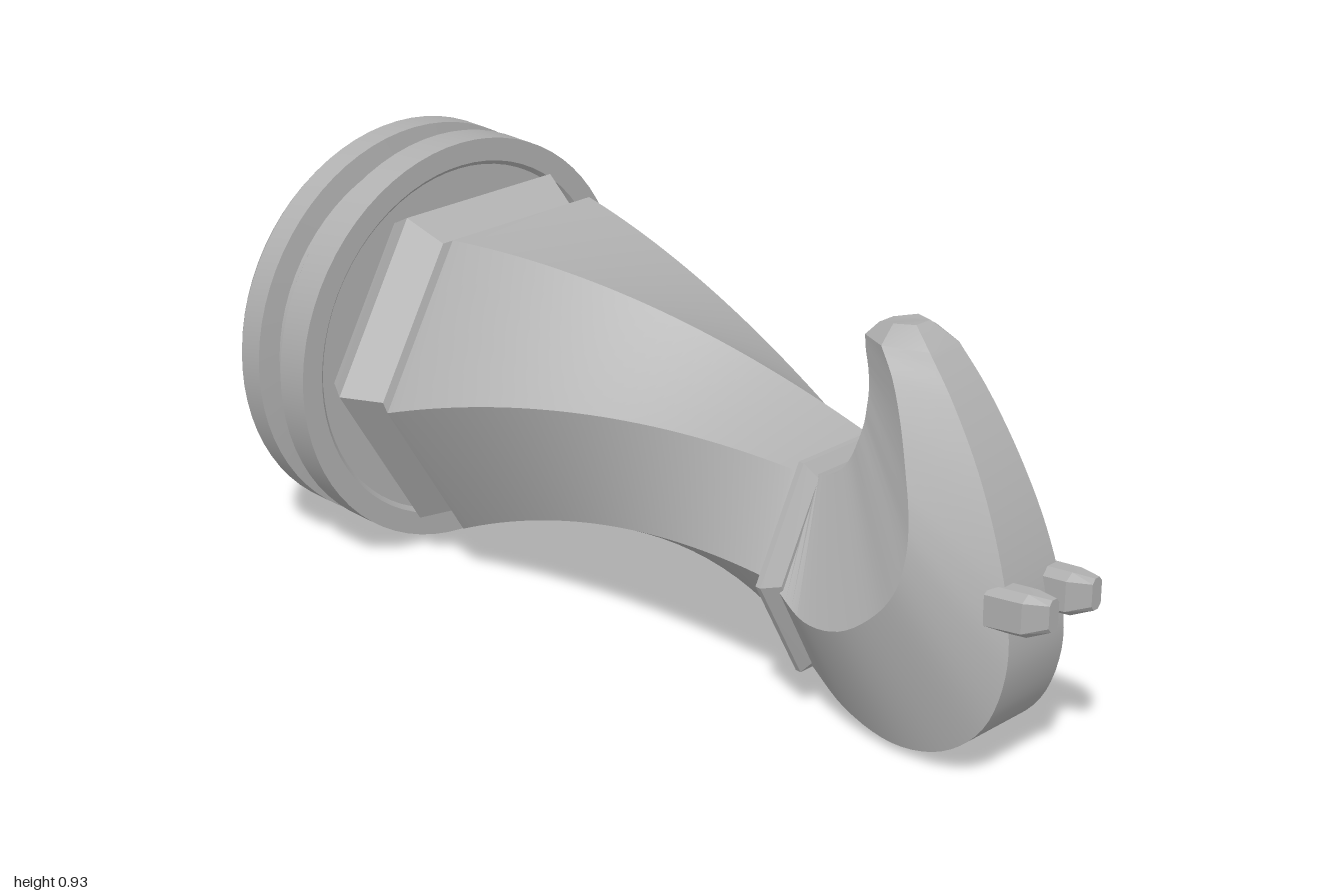
import * as THREE from 'three';
import { toCreasedNormals } from 'three/addons/utils/BufferGeometryUtils.js';

const V = (x, y, z) => new THREE.Vector3(x, y, z);
const lerp = THREE.MathUtils.lerp;

// Skin a list of rings (counter-clockwise seen from +z, running towards +z), with end caps
function loft(rings, crease = 0.35) {
  const pos = [];
  const tri = (...pts) => pts.forEach((p) => pos.push(p.x, p.y, p.z));
  const n = rings[0].length;
  for (let i = 0; i < rings.length - 1; i++) {
    const a = rings[i], b = rings[i + 1];
    for (let j = 0; j < n; j++) {
      const k = (j + 1) % n;
      tri(a[j], a[k], b[k]);
      tri(a[j], b[k], b[j]);
    }
  }
  const first = rings[0], last = rings[rings.length - 1];
  for (let j = 1; j < n - 1; j++) {
    tri(first[0], first[j + 1], first[j]);
    tri(last[0], last[j], last[j + 1]);
  }
  const g = new THREE.BufferGeometry();
  g.setAttribute('position', new THREE.Float32BufferAttribute(pos, 3));
  return toCreasedNormals(g, crease);
}

// Hexagon ring with corners pointing sideways
function hex(r, y, z, ry = r, x = 0, turn = 0) {
  return Array.from({ length: 6 }, (_, i) => {
    const a = (i * Math.PI) / 3 + turn;
    return V(x + r * Math.cos(a), y + ry * Math.sin(a), z);
  });
}

export function createModel() {
  const group = new THREE.Group();
  const metal = new THREE.MeshStandardMaterial({ color: 0xb0b0b0 });
  metal.name = 'grey metal';
  const add = (name, geometry) => {
    const mesh = new THREE.Mesh(geometry, metal);
    mesh.name = name;
    group.add(mesh);
    return mesh;
  };

  // Round wall plate with a groove and a screw hole in the back
  const profile = [
    [0, -0.86], [0.092, -0.86], [0.092, -1], [0.452, -1], [0.467, -0.98], [0.467, -0.918],
    [0.415, -0.912], [0.415, -0.9], [0.467, -0.84], [0.467, -0.76], [0.415, -0.76],
    [0.405, -0.77], [0, -0.77],
  ].map(([r, z]) => new THREE.Vector2(r, z));
  const plate = new THREE.LatheGeometry(profile, 72);
  plate.rotateX(Math.PI / 2);
  plate.translate(0, 0.47, 0);
  add('wallPlate', toCreasedNormals(plate, 0.45));

  // Hexagonal base collar
  add('baseCollar', loft([
    [0.37, -0.78], [0.38, -0.76], [0.415, -0.7], [0.367, -0.61], [0.395, -0.56],
  ].map(([r, z]) => hex(r, 0.47, z)), 0.15));

  // Tapered arm: each corner moves one sixth of a turn clockwise along a bowed path
  const arm = [];
  for (let i = 0; i <= 32; i++) {
    const t = i / 32;
    const start = hex(0.395, 0.47, -0.56);
    const end = hex(0.22, 0.36, 0.4, 0.22, 0, -Math.PI / 3);
    arm.push(start.map((p, j) => {
      const q = p.clone().lerp(end[j], t);
      q.y += 0.25 * t * (1 - t);
      return q;
    }));
  }
  add('twistedArm', loft(arm));

  // Small ridged collar between arm and hook
  add('hookCollar', loft([
    [0.2, 0.225, 0.37], [0.24, 0.27, 0.392], [0.24, 0.27, 0.405], [0.205, 0.235, 0.43],
  ].map(([r, ry, z]) => hex(r, 0.345, z, ry)), 0.15));

  // Hook stations as (half width, y, z) for the outer rim, side ridge and inner rim
  const outer = [
    V(0.1, 0.13, 0.41), V(0.09, 0.055, 0.5), V(0.088, 0.025, 0.63), V(0.088, 0.06, 0.76),
    V(0.087, 0.15, 0.86), V(0.085, 0.28, 0.908), V(0.08, 0.4, 0.905), V(0.072, 0.53, 0.867),
    V(0.06, 0.67, 0.8), V(0.05, 0.79, 0.72), V(0.042, 0.865, 0.655),
  ];
  const ridge = [
    V(0.205, 0.34, 0.41), V(0.205, 0.29, 0.49), V(0.2, 0.3, 0.58), V(0.185, 0.36, 0.66),
    V(0.175, 0.43, 0.705), V(0.16, 0.51, 0.715), V(0.145, 0.58, 0.703), V(0.13, 0.65, 0.68),
    V(0.11, 0.74, 0.645), V(0.092, 0.815, 0.605), V(0.08, 0.865, 0.565),
  ];
  const inner = [
    V(0.1, 0.55, 0.41), V(0.1, 0.56, 0.44), V(0.098, 0.575, 0.475), V(0.09, 0.61, 0.5),
    V(0.085, 0.65, 0.515), V(0.075, 0.69, 0.522), V(0.07, 0.72, 0.523), V(0.062, 0.75, 0.52),
    V(0.053, 0.79, 0.51), V(0.046, 0.83, 0.495), V(0.04, 0.855, 0.487),
  ];
  const flip = (p) => V(-p.x, p.y, p.z);
  const section = (o, m, n) => [o, m, n, flip(n), flip(m), flip(o)];
  const curves = [outer, ridge, inner].map((pts) => new THREE.CatmullRomCurve3(pts));
  const hook = [];
  for (let i = 0; i <= 50; i++) hook.push(section(...curves.map((c) => c.getPoint(i / 50))));
  // Bevelled tip
  hook.push(section(V(0.02, 0.9, 0.6), V(0.036, 0.895, 0.555), V(0.02, 0.88, 0.505)));
  add('hook', loft(hook));

  // Pair of small faceted pegs on the front of the hook
  for (const side of [-1, 1]) {
    const rings = [];
    for (const [w, h, y, z] of [[0.034, 0.047, 0.415, 0.86], [0.033, 0.046, 0.428, 0.95], [0.014, 0.034, 0.442, 1]]) {
      const x = side * lerp(0.067, 0.064, (z - 0.86) / 0.14);
      const c = w * 0.45;
      rings.push([
        V(x + c, y - h, z), V(x + w, y - h * 0.7, z), V(x + w, y + h * 0.7, z),
        V(x + c, y + h, z), V(x - c, y + h, z), V(x - w, y + h * 0.7, z),
        V(x - w, y - h * 0.7, z), V(x - c, y - h, z),
      ]);
    }
    add(side > 0 ? 'leftPeg' : 'rightPeg', loft(rings, 0.2));
  }

  return group;
}
